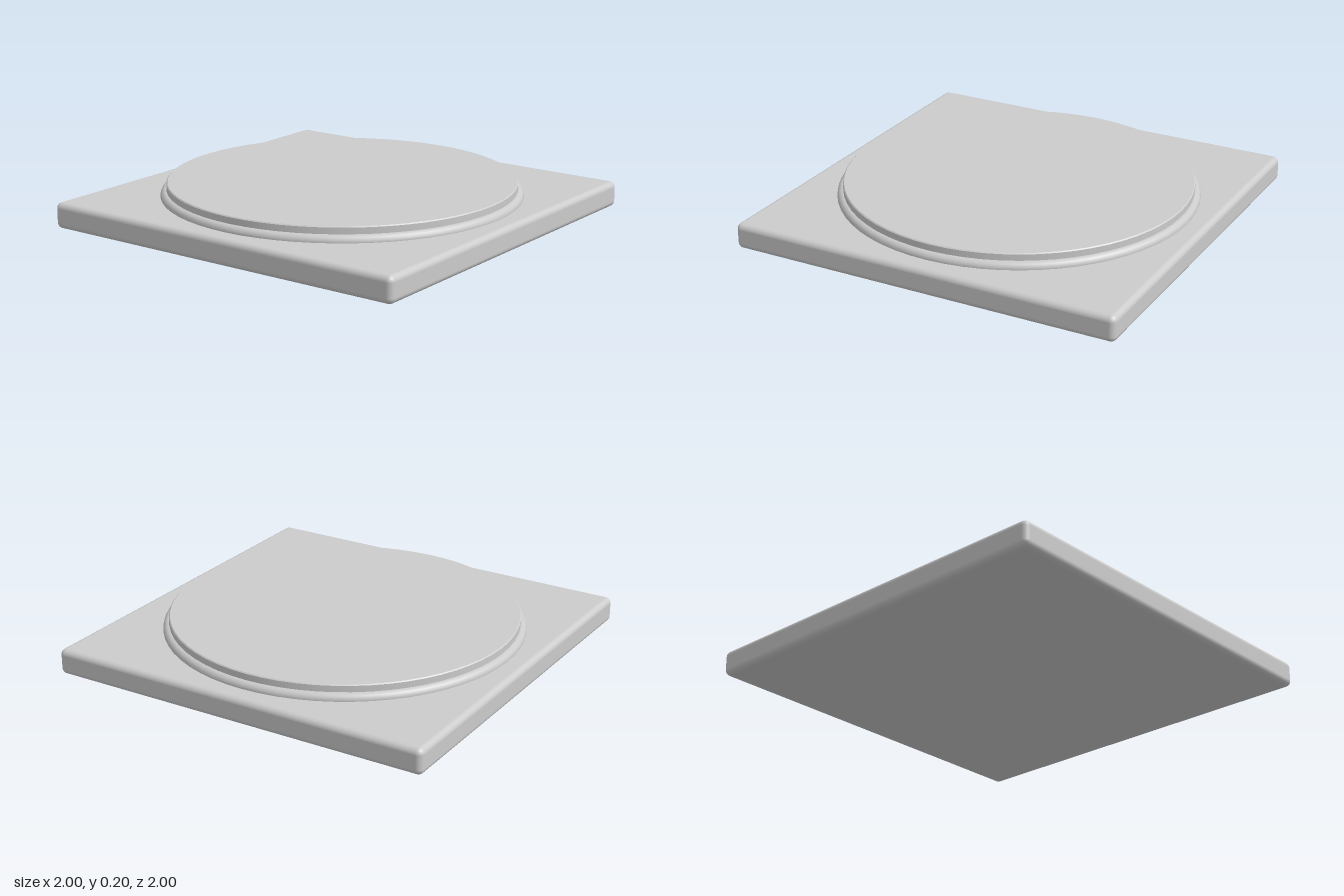
import * as THREE from 'three';
import { RoundedBoxGeometry } from 'three/addons/geometries/RoundedBoxGeometry.js';
import { toCreasedNormals } from 'three/addons/utils/BufferGeometryUtils.js';

const SEGMENTS = 64;

export function createModel() {
  const group = new THREE.Group();
  group.name = 'roundPlinth';
  const material = new THREE.MeshStandardMaterial({ color: 0xcccccc });

  const add = (name, geometry, y = 0) => {
    const mesh = new THREE.Mesh(geometry, material);
    mesh.name = name;
    mesh.position.y = y;
    group.add(mesh);
    return mesh;
  };

  // Square slab with softened edges
  add('baseSlab', new RoundedBoxGeometry(2, 0.13, 2, 4, 0.03), 0.065);

  // Half-round moulding where the disc meets the slab
  const moulding = new THREE.TorusGeometry(0.868, 0.032, 16, SEGMENTS);
  moulding.rotateX(-Math.PI / 2);
  add('moulding', moulding, 0.132);

  // Raised disc with a fine bevel round its top edge
  const profile = [[0.87, 0.1], [0.87, 0.195], [0.865, 0.2], [0, 0.2]]
    .map(([x, y]) => new THREE.Vector2(x, y));
  add('raisedDisc', toCreasedNormals(new THREE.LatheGeometry(profile, SEGMENTS), 0.5));

  return group;
}
